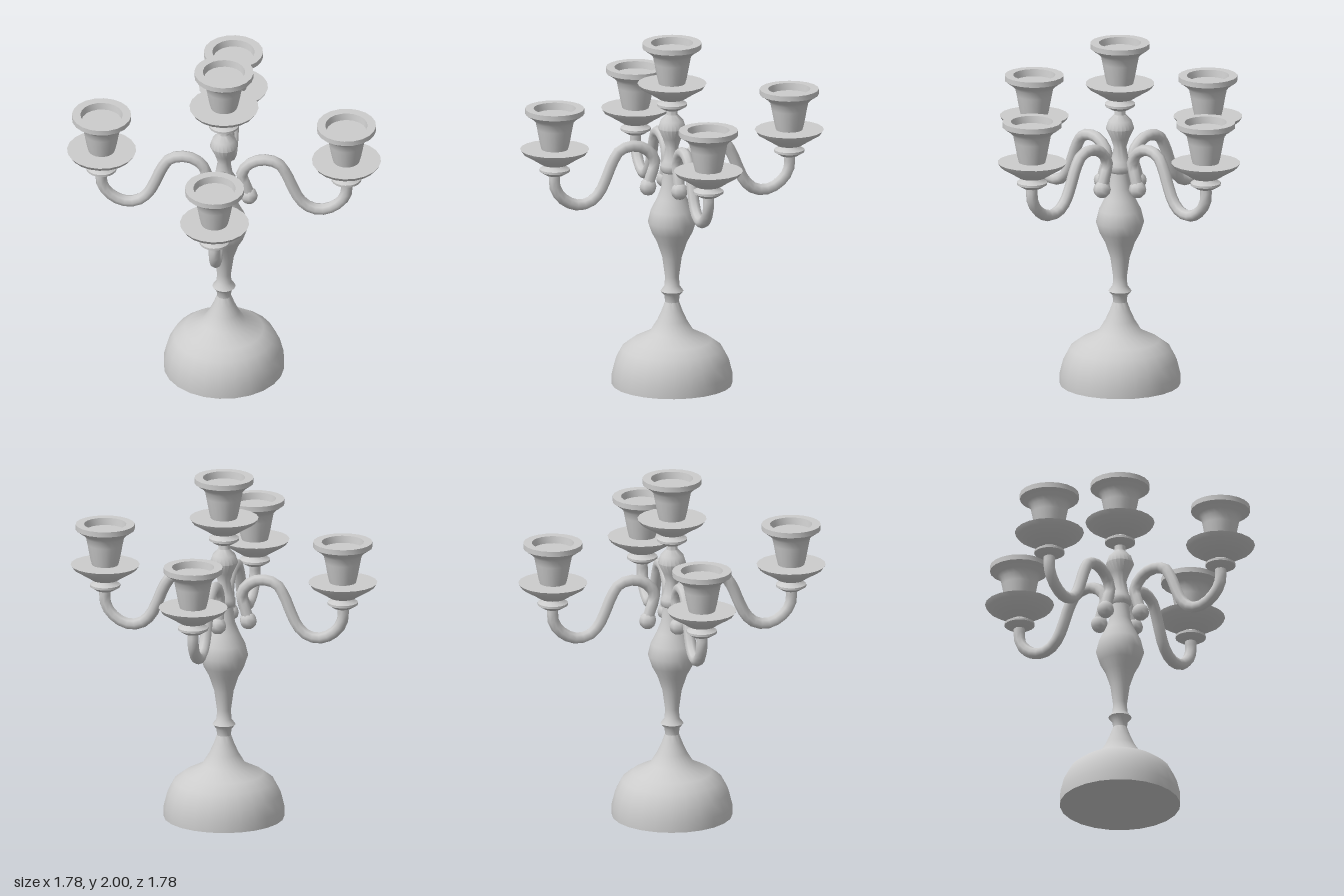
import * as THREE from 'three';
import { toCreasedNormals } from 'three/addons/utils/BufferGeometryUtils.js';

const ARM_REACH = 0.695;
const material = new THREE.MeshStandardMaterial({ color: 0xcccccc });

function addMesh(parent, name, geometry) {
  const mesh = new THREE.Mesh(geometry, material);
  mesh.name = name;
  parent.add(mesh);
  return mesh;
}

// Turned part from [radius, height] pairs, listed from the bottom up
function turned(parent, name, profile, sides = 20) {
  const points = profile.map(([r, y]) => new THREE.Vector2(r, y));
  return addMesh(parent, name, toCreasedNormals(new THREE.LatheGeometry(points, sides), 0.8));
}

// Knob, drip dish and hollow cup; y = 0 is the top of the rim
function createCandleHolder() {
  const holder = new THREE.Group();
  holder.name = 'candleHolder';
  turned(holder, 'knob', [
    [0, -0.39], [0.05, -0.39], [0.086, -0.368], [0.086, -0.355], [0.05, -0.335], [0.045, -0.32],
  ]);
  turned(holder, 'dripDish', [
    [0.045, -0.335], [0.075, -0.327], [0.12, -0.298], [0.18, -0.262], [0.196, -0.238], [0, -0.238],
  ]);
  turned(holder, 'cup', [
    [0.075, -0.24], [0.085, -0.2], [0.1, -0.12], [0.108, -0.08], [0.125, -0.06],
    [0.168, -0.03], [0.168, 0], [0.12, 0], [0.113, -0.04], [0, -0.04],
  ]);
  return holder;
}

// Curved arm reaching along +x, with a ball at its inner end
function createArm() {
  const arm = new THREE.Group();
  arm.name = 'arm';
  const path = new THREE.CatmullRomCurve3([
    [0.14, 1.18], [0.118, 1.25], [0.1, 1.3], [0.12, 1.355], [0.175, 1.4], [0.24, 1.412],
    [0.31, 1.39], [0.355, 1.32], [0.39, 1.235], [0.43, 1.155], [0.48, 1.108], [0.54, 1.092],
    [0.6, 1.105], [0.665, 1.155], [ARM_REACH, 1.215], [ARM_REACH, 1.3],
  ].map(([x, y]) => new THREE.Vector3(x, y, 0)));
  addMesh(arm, 'armTube', new THREE.TubeGeometry(path, 24, 0.033, 8));
  addMesh(arm, 'armBall', new THREE.SphereGeometry(0.05, 8, 6)).position.set(0.142, 1.165, 0);
  const holder = createCandleHolder();
  holder.position.set(ARM_REACH, 1.672, 0);
  arm.add(holder);
  return arm;
}

export function createModel() {
  const model = new THREE.Group();
  model.name = 'candelabra';

  // Domed foot sweeping up into a thin neck
  turned(model, 'base', [
    [0, 0], [0.342, 0], [0.342, 0.06], [0.322, 0.14], [0.285, 0.21], [0.225, 0.255],
    [0.125, 0.305], [0.085, 0.37], [0.058, 0.43], [0.04, 0.48],
  ], 24);

  // Stem with ring, swelling, collar and upper bulb
  turned(model, 'stem', [
    [0.04, 0.475], [0.042, 0.515], [0.065, 0.543], [0.042, 0.575], [0.04, 0.63], [0.055, 0.74],
    [0.085, 0.83], [0.115, 0.885], [0.137, 0.95], [0.12, 1.02], [0.085, 1.09], [0.062, 1.15],
    [0.052, 1.24], [0.066, 1.255], [0.066, 1.285], [0.05, 1.31], [0.036, 1.39],
    [0.052, 1.44], [0.08, 1.5], [0.065, 1.545], [0.032, 1.58], [0.032, 1.62],
  ]);

  const topHolder = createCandleHolder();
  topHolder.position.y = 2;
  model.add(topHolder);

  // Four arms around the stem
  for (let i = 0; i < 4; i++) {
    const arm = createArm();
    arm.rotation.y = i * Math.PI / 2;
    model.add(arm);
  }
  return model;
}
